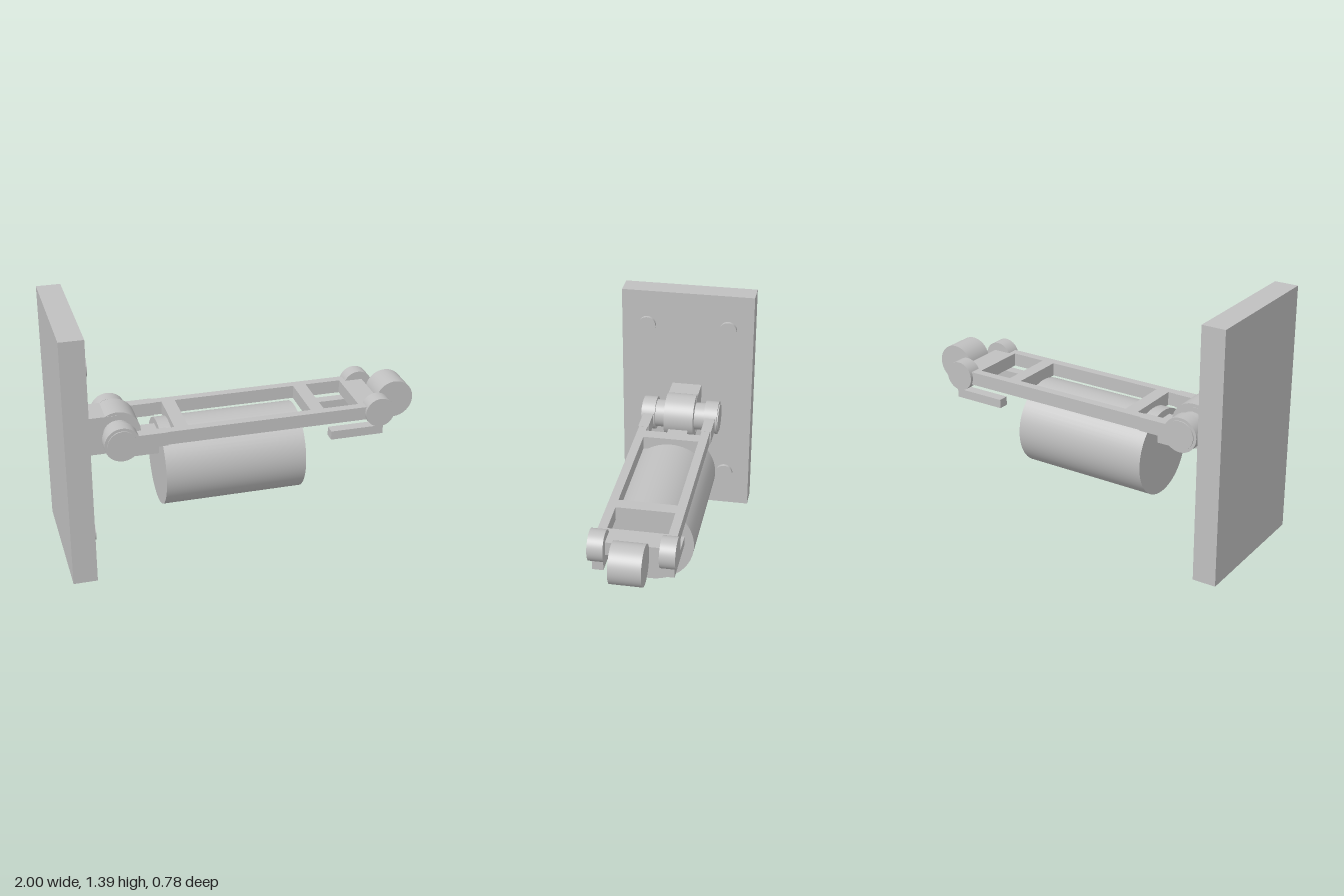
import * as THREE from 'three';

export function createModel() {
  const model = new THREE.Group();
  model.name = 'wallMountedArm';
  const grey = new THREE.MeshStandardMaterial({ color: 0xc0c0c0 });
  grey.name = 'grey';

  const add = (name, geometry) => {
    const mesh = new THREE.Mesh(geometry, grey);
    mesh.name = name;
    model.add(mesh);
  };
  // Box and cylinders given by their extents
  const box = (name, x0, x1, y0, y1, z0, z1) =>
    add(name, new THREE.BoxGeometry(x1 - x0, y1 - y0, z1 - z0)
      .translate((x0 + x1) / 2, (y0 + y1) / 2, (z0 + z1) / 2));
  const discX = (name, r, x0, x1, y, z) =>
    add(name, new THREE.CylinderGeometry(r, r, x1 - x0, 64)
      .rotateZ(-Math.PI / 2).translate((x0 + x1) / 2, y, z));
  const discZ = (name, r, x, y, z0, z1) =>
    add(name, new THREE.CylinderGeometry(r, r, z1 - z0, 64)
      .rotateX(Math.PI / 2).translate(x, y, (z0 + z1) / 2));

  // Wall plate with four bolts
  box('wallPlate', -1, -0.87, 0, 1.39, -0.39, 0.39);
  for (const y of [0.22, 1.18]) {
    for (const z of [-0.24, 0.24]) discX('bolt', 0.051, -0.875, -0.85, y, z);
  }

  // Hinge on the plate
  box('hingeBlock', -0.87, -0.676, 0.59, 0.807, -0.088, 0.088);
  discZ('hingeBarrel', 0.125, -0.676, 0.7, -0.086, 0.086);
  discZ('hingePin', 0.08, -0.676, 0.7, -0.228, 0.228);

  // Parts repeated on both sides
  for (const s of [-1, 1]) {
    const span = (a, b) => (s > 0 ? [a, b] : [-b, -a]);
    discZ('hingeKnuckle', 0.096, -0.676, 0.7, ...span(0.145, 0.222));
    box('sideRail', -0.6, 0.757, 0.66, 0.735, ...span(0.158, 0.206));
    box('railEnd', -0.615, -0.43, 0.659, 0.736, ...span(0.153, 0.212));
    discZ('rollerKnuckle', 0.083, 0.757, 0.7, ...span(0.142, 0.224));
    box('lowerFinger', 0.48, 0.78, 0.565, 0.615, ...span(0.153, 0.212));
  }

  // Cross bars between the rails
  for (const [x0, x1] of [[-0.385, -0.31], [0.375, 0.45], [0.65, 0.78]]) {
    box('crossBar', x0, x1, 0.66, 0.735, -0.16, 0.16);
  }

  // Hanging drum, its neck, and the end roller
  box('drumNeck', -0.615, -0.44, 0.535, 0.66, -0.058, 0.058);
  discX('drum', 0.24, -0.45, 0.33, 0.46, 0);
  discZ('endRoller', 0.108, 0.892, 0.7, -0.084, 0.084);

  return model;
}
